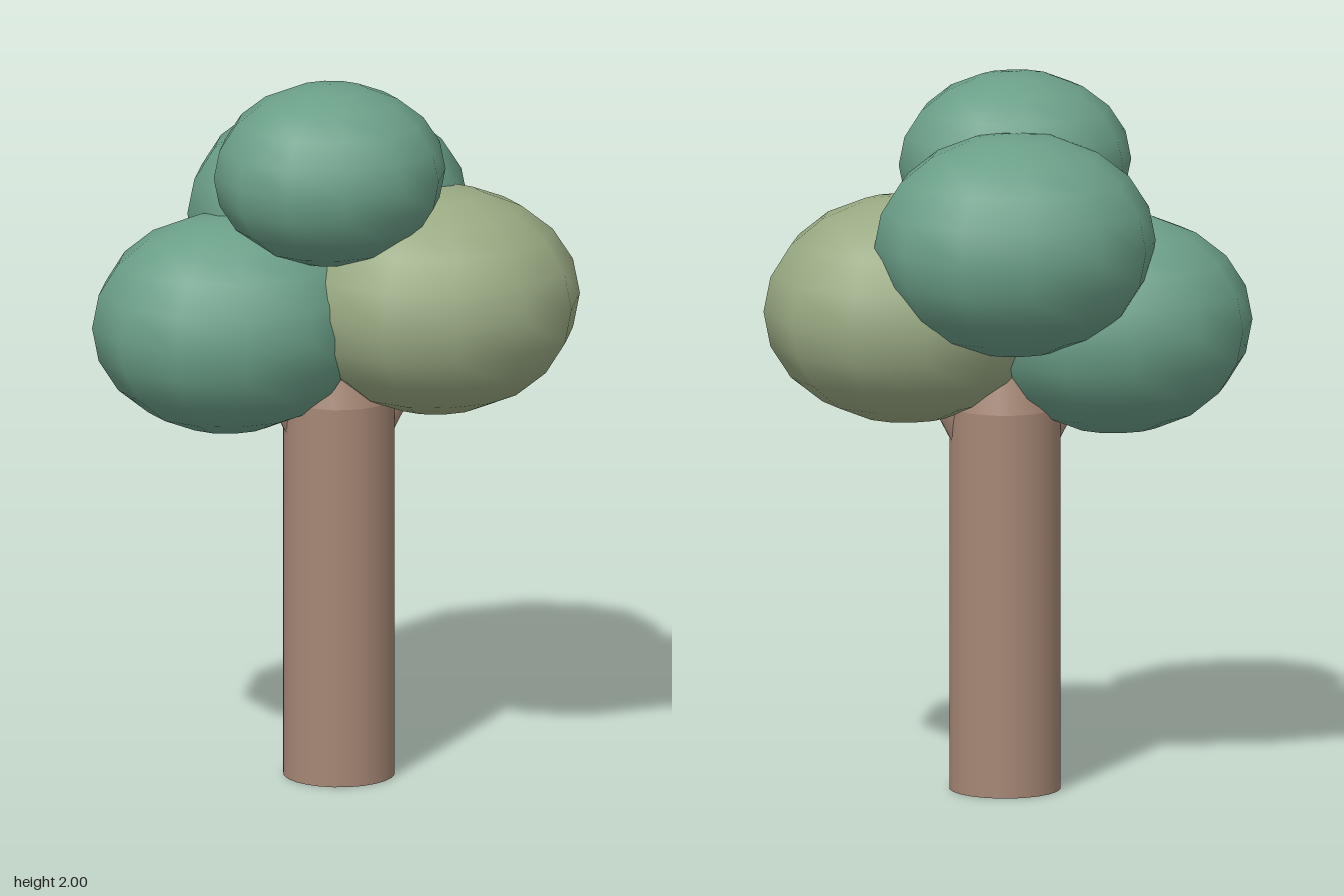
import * as THREE from 'three';

export function createModel() {
  const tree = new THREE.Group();
  tree.name = 'tree';

  const bark = new THREE.MeshStandardMaterial({ color: 0xa58775 });
  const green = new THREE.MeshStandardMaterial({ color: 0x6b9f88 });
  const olive = new THREE.MeshStandardMaterial({ color: 0x9aaa83 });

  const add = (name, geometry, material, x = 0, y = 0, z = 0) => {
    const mesh = new THREE.Mesh(geometry, material);
    mesh.name = name;
    mesh.position.set(x, y, z);
    tree.add(mesh);
    return mesh;
  };

  // Trunk: straight column that narrows inside the crown
  const cx = 0.01, cz = 0.07, radius = 0.155;
  add('trunk', new THREE.CylinderGeometry(radius, radius, 1.08, 24), bark, cx, 0.54, cz);
  add('trunkTop', new THREE.CylinderGeometry(0.09, radius, 0.24, 24), bark, cx, 1.2, cz);

  // Short branches rising into the side crowns
  const up = new THREE.Vector3(0, 1, 0);
  for (const [name, side] of [['leftBranch', 1], ['rightBranch', -1]]) {
    const start = new THREE.Vector3(cx + side * 0.05, 0.89, cz);
    const end = new THREE.Vector3(cx + side * 0.27, 1.29, cz);
    const direction = end.clone().sub(start);
    const middle = start.clone().add(end).multiplyScalar(0.5);
    const branch = add(name, new THREE.CylinderGeometry(0.04, 0.052, direction.length(), 6),
      bark, middle.x, middle.y, middle.z);
    branch.quaternion.setFromUnitVectors(up, direction.normalize());
  }

  // Leaf crowns: squashed spheres, given by centre and radii
  const crowns = [
    ['leftCrown', olive, [0.28, 1.355, 0.105], [0.4, 0.318, 0.355]],
    ['rightCrown', green, [-0.3, 1.303, 0.067], [0.382, 0.306, 0.335]],
    ['backCrown', green, [0.01, 1.57, -0.117], [0.394, 0.312, 0.345]],
    ['topCrown', green, [-0.033, 1.745, 0.17], [0.325, 0.255, 0.288]],
  ];
  for (const [name, material, centre, radii] of crowns) {
    const sphere = new THREE.SphereGeometry(1, 12, 10);
    add(name, sphere, material, ...centre).scale.set(...radii);
  }

  return tree;
}
